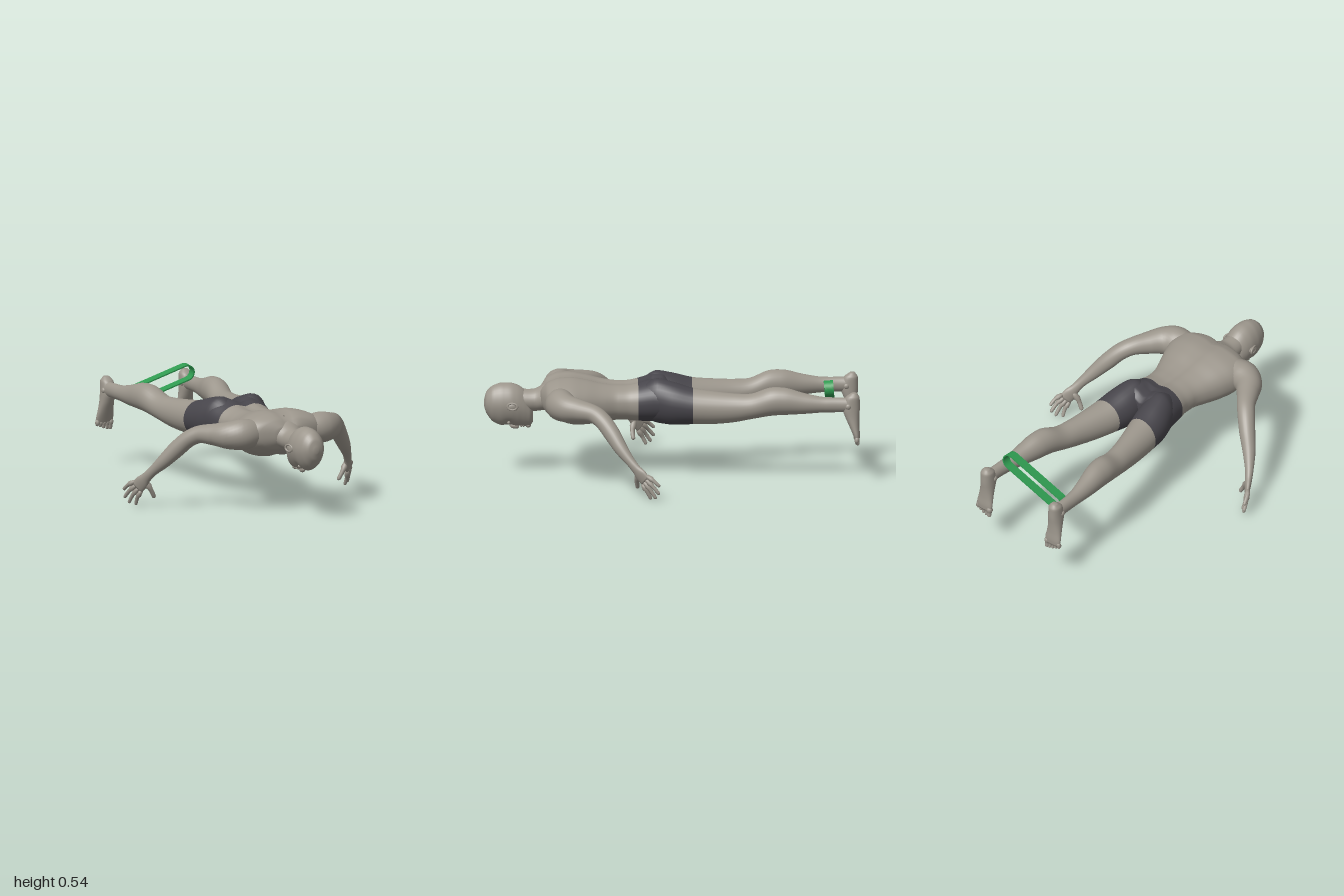
import * as THREE from 'three';

const mat = (name, color) => {
  const m = new THREE.MeshStandardMaterial({ color });
  m.name = name;
  return m;
};
const skin = mat('skin', 0x9c968c);
const cloth = mat('shorts cloth', 0x47454b);
const green = mat('band green', 0x2f9a50);

const X = new THREE.Vector3(1, 0, 0);
const BACK = new THREE.Vector3(0, 0, -1);

// Smooth skin through cross-sections [x, y, z, halfWidth, halfHeight].
// ref: width direction; axis: fixed section normal (otherwise the path tangent);
// power: squareness; parts: [[firstSection, material], ...]; mod: vertex rule.
function loft(name, sections, { ref = X, axis, power = 2, sides = 28, steps = 5, parts = [[0, skin]], mod } = {}) {
  const path = new THREE.CatmullRomCurve3(sections.map(s => new THREE.Vector3(s[0], s[1], s[2])));
  const size = new THREE.CatmullRomCurve3(sections.map(s => new THREE.Vector3(s[3], s[4], 0)));
  const rings = (sections.length - 1) * steps;
  const pos = [], idx = [];
  const bulge = v => Math.sign(v) * Math.abs(v) ** (2 / power);
  for (let i = 0; i <= rings; i++) {
    const c = path.getPoint(i / rings), r = size.getPoint(i / rings);
    const t = axis ? axis.clone() : path.getTangent(i / rings);
    const side = ref.clone().addScaledVector(t, -ref.dot(t)).normalize();
    const up = t.clone().cross(side);
    for (let j = 0; j < sides; j++) {
      const a = j / sides * Math.PI * 2;
      const p = c.clone().addScaledVector(side, r.x * bulge(Math.cos(a))).addScaledVector(up, r.y * bulge(Math.sin(a)));
      if (mod) mod(p, c);
      pos.push(p.x, p.y, p.z);
    }
  }
  const first = sections[0], last = sections[sections.length - 1], n = (rings + 1) * sides;
  pos.push(first[0], first[1], first[2], last[0], last[1], last[2]);
  for (let j = 0; j < sides; j++) idx.push(n, (j + 1) % sides, j);
  for (let i = 0; i < rings; i++) for (let j = 0; j < sides; j++) {
    const a = i * sides + j, b = i * sides + (j + 1) % sides;
    idx.push(a, b, a + sides, b, b + sides, a + sides);
  }
  for (let j = 0; j < sides; j++) idx.push(n + 1, rings * sides + j, rings * sides + (j + 1) % sides);
  const g = new THREE.BufferGeometry();
  g.setAttribute('position', new THREE.Float32BufferAttribute(pos, 3));
  g.setIndex(idx);
  g.computeVertexNormals();
  const start = k => k === 0 ? 0 : sides * 3 + parts[k][0] * steps * sides * 6;
  parts.forEach((p, k) => g.addGroup(start(k), (k + 1 < parts.length ? start(k + 1) : idx.length) - start(k), k));
  const mesh = new THREE.Mesh(g, parts.map(p => p[1]));
  mesh.name = name;
  return mesh;
}

// Rounded finger or toe through a few points
function digit(name, pts, r) {
  const [a, b, c] = pts;
  const end = c.map((v, i) => v + (c[i] - b[i]) * 0.12);
  return loft(name, [[...a, r, r], [...b, r, r], [...c, r * 0.85, r * 0.85], [...end, r * 0.35, r * 0.35]],
    { ref: new THREE.Vector3(0.6, 0.1, 0.8), sides: 10, steps: 3 });
}

function ball(name, p, s, rotX = 0) {
  const m = new THREE.Mesh(new THREE.SphereGeometry(1, 20, 14), skin);
  m.name = name;
  m.position.set(...p);
  m.scale.set(...s);
  m.rotation.x = rotX;
  return m;
}

function buildTorso() {
  const rows = [
    [0.70, 0.43, 0.07, 0.045], [0.665, 0.43, 0.19, 0.085], [0.61, 0.425, 0.245, 0.113],
    [0.54, 0.415, 0.24, 0.128], [0.46, 0.407, 0.215, 0.124], [0.38, 0.402, 0.182, 0.11],
    [0.30, 0.402, 0.155, 0.1], [0.24, 0.402, 0.152, 0.1], [0.18, 0.405, 0.162, 0.108],
    [0.10, 0.415, 0.178, 0.12], [0.05, 0.415, 0.185, 0.118], [0.01, 0.41, 0.15, 0.095]];
  return loft('torso', rows.map(([z, y, w, h]) => [0, y, z, w, h]), {
    axis: BACK, power: 2.3, sides: 48, parts: [[0, skin], [8, cloth]],
    mod: (p, c) => {
      // spine and seat groove above, shallow breastbone groove below
      const g = Math.exp(-((p.x / 0.035) ** 2));
      if (p.y > c.y) p.y -= (p.z < 0.12 ? 0.035 : 0.018) * g;
      else if (p.z > 0.42) p.y += 0.01 * g;
    }
  });
}

function buildHead() {
  const head = new THREE.Group();
  head.name = 'head';
  // [z, underside (face), top (back of head), half width]
  const rows = [
    [1.0, 0.375, 0.405, 0.012], [0.988, 0.335, 0.448, 0.044], [0.955, 0.29, 0.482, 0.068],
    [0.905, 0.268, 0.498, 0.081], [0.86, 0.268, 0.498, 0.083], [0.82, 0.264, 0.486, 0.078],
    [0.785, 0.262, 0.462, 0.067], [0.755, 0.264, 0.42, 0.052], [0.738, 0.285, 0.37, 0.028]];
  head.add(loft('skull', rows.map(([z, lo, hi, w]) => [0, (lo + hi) / 2, z, w, (hi - lo) / 2]), {
    axis: BACK, sides: 36,
    mod: (p, c) => {
      // narrower face, hollow eye sockets
      if (p.y < c.y) p.x *= 1 - 1.1 * (c.y - p.y);
      const d = (Math.abs(p.x) - 0.03) ** 2 + (p.z - 0.868) ** 2;
      if (p.y < 0.33) p.y += 0.014 * Math.exp(-d / 0.0004);
    }
  }));
  head.add(loft('neck', [[0, 0.42, 0.84, 0.05, 0.05], [0, 0.405, 0.78, 0.06, 0.058], [0, 0.405, 0.73, 0.064, 0.06],
    [0, 0.42, 0.68, 0.09, 0.07], [0, 0.428, 0.62, 0.13, 0.09]], { axis: BACK }));
  head.add(ball('nose', [0, 0.262, 0.838], [0.013, 0.015, 0.026], -0.25));
  head.add(ball('upperLip', [0, 0.264, 0.801], [0.022, 0.007, 0.006]));
  head.add(ball('lowerLip', [0, 0.264, 0.79], [0.019, 0.007, 0.006]));
  head.add(ball('chin', [0, 0.268, 0.764], [0.022, 0.016, 0.015]));
  for (const s of [1, -1]) {
    head.add(ball('eye', [s * 0.03, 0.288, 0.868], [0.014, 0.011, 0.009]));
    head.add(ball('ear', [s * 0.083, 0.385, 0.848], [0.008, 0.018, 0.027], 0.2));
    const rim = new THREE.Mesh(new THREE.TorusGeometry(0.019, 0.0055, 8, 20), skin);
    rim.name = 'earRim';
    rim.position.set(s * 0.089, 0.387, 0.85);
    rim.rotation.y = Math.PI / 2 - s * 0.25;
    rim.scale.set(1.35, 0.95, 1);
    head.add(rim);
  }
  return head;
}

function buildArm(s, name) {
  const arm = new THREE.Group();
  arm.name = name;
  const flip = p => [s * p[0], ...p.slice(1)];
  arm.add(loft('armAndPalm', [
    [0.15, 0.435, 0.6, 0.07, 0.065], [0.235, 0.432, 0.597, 0.083, 0.08], [0.295, 0.427, 0.565, 0.075, 0.073],
    [0.345, 0.425, 0.5, 0.06, 0.06], [0.40, 0.418, 0.42, 0.047, 0.048], [0.44, 0.39, 0.375, 0.045, 0.046],
    [0.485, 0.335, 0.33, 0.045, 0.043], [0.54, 0.262, 0.28, 0.037, 0.035], [0.588, 0.195, 0.225, 0.026, 0.023],
    [0.605, 0.165, 0.2, 0.028, 0.02], [0.62, 0.135, 0.175, 0.038, 0.017], [0.634, 0.107, 0.152, 0.036, 0.012]
  ].map(flip), { ref: new THREE.Vector3(0.5 * s, 0.85, -0.4).normalize() }));
  // fingers from index to little finger: tip positions
  const tips = [[0.628, 0.012, 0.125], [0.655, 0.021, 0.1], [0.672, 0.048, 0.083], [0.676, 0.09, 0.081]];
  tips.forEach((tip, i) => {
    const k = (i - 1.5) / 1.5;
    const root = [0.632 + k * 0.014, 0.112 + k * 0.025, 0.156 - k * 0.012];
    const mid = root.map((v, a) => (v + tip[a]) / 2 + [0.006, 0.004, 0][a]);
    arm.add(digit('finger', [root, mid, tip].map(flip), 0.0105));
  });
  arm.add(digit('thumb', [[0.606, 0.145, 0.185], [0.578, 0.1, 0.197], [0.554, 0.056, 0.193]].map(flip), 0.0125));
  return arm;
}

function buildLeg(s, name) {
  const leg = new THREE.Group();
  leg.name = name;
  const flip = p => [s * p[0], ...p.slice(1)];
  leg.add(loft('legAndShorts', [
    [0.085, 0.42, 0.15, 0.06, 0.085], [0.092, 0.42, 0.08, 0.088, 0.12], [0.105, 0.408, 0, 0.1, 0.116],
    [0.125, 0.396, -0.11, 0.094, 0.097], [0.146, 0.392, -0.22, 0.081, 0.088], [0.166, 0.395, -0.33, 0.07, 0.077],
    [0.181, 0.406, -0.42, 0.068, 0.068], [0.199, 0.435, -0.52, 0.069, 0.076], [0.208, 0.439, -0.6, 0.064, 0.073],
    [0.221, 0.43, -0.7, 0.05, 0.056], [0.231, 0.425, -0.8, 0.036, 0.042], [0.235, 0.425, -0.88, 0.032, 0.04],
    [0.236, 0.425, -0.95, 0.034, 0.04]
  ].map(flip), { axis: BACK, parts: [[0, cloth], [3, skin]] }));
  // foot hangs straight down, sole to the rear
  leg.add(loft('foot', [
    [0.236, 0.49, -0.966, 0.016, 0.014], [0.236, 0.465, -0.958, 0.034, 0.038], [0.236, 0.41, -0.95, 0.037, 0.047],
    [0.237, 0.36, -0.956, 0.039, 0.038], [0.238, 0.31, -0.967, 0.044, 0.027], [0.238, 0.265, -0.978, 0.05, 0.019],
    [0.238, 0.235, -0.983, 0.048, 0.012]
  ].map(flip), { axis: new THREE.Vector3(0, -1, 0), power: 2.2 }));
  for (const side of [-1, 1]) leg.add(ball('ankleBone', [s * (0.236 + side * 0.032), 0.42, -0.935], [0.01, 0.015, 0.015]));
  for (let i = 0; i < 5; i++) {
    const x = 0.202 + i * 0.0195, tip = 0.201 + i * i * 0.0017;
    leg.add(digit('toe', [[x, 0.255, -0.982], [x, 0.228, -0.981], [x, tip, -0.986]].map(flip), i ? 0.0095 : 0.013));
  }
  return leg;
}

// Flat elastic loop stretched between the ankles
function buildBand() {
  const half = 0.173, r = 0.044;
  const stadium = (Type, rad) => {
    const p = new Type();
    p.absarc(half, 0, rad, -Math.PI / 2, Math.PI / 2);
    p.absarc(-half, 0, rad, Math.PI / 2, Math.PI * 1.5);
    p.closePath();
    return p;
  };
  const shape = stadium(THREE.Shape, r);
  shape.holes.push(stadium(THREE.Path, r - 0.007));
  const g = new THREE.ExtrudeGeometry(shape, { depth: 0.05, bevelEnabled: false, curveSegments: 24 });
  g.translate(0, 0, -0.025);
  const band = new THREE.Mesh(g, green);
  band.name = 'ankleBand';
  band.position.set(0.006, 0.446, -0.838);
  band.rotation.set(0.08, 0, Math.atan2(0.105, 0.33));
  return band;
}

export function createModel() {
  const model = new THREE.Group();
  model.name = 'proneFigure';
  model.add(buildTorso(), buildHead(), buildBand());
  for (const [s, side] of [[1, 'left'], [-1, 'right']]) model.add(buildArm(s, side + 'Arm'), buildLeg(s, side + 'Leg'));
  return model;
}
